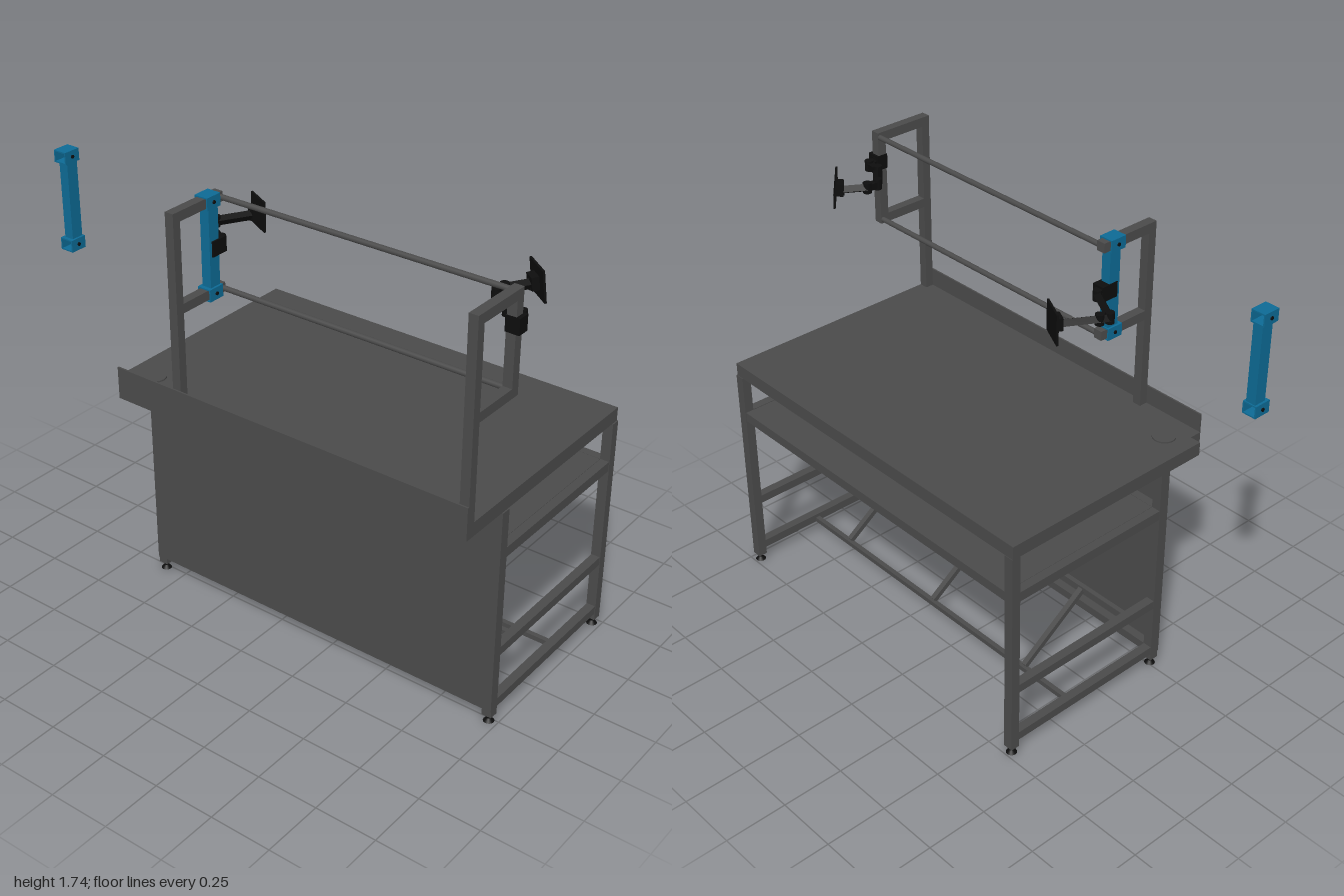
import * as THREE from 'three';

export function createModel() {
  const root = new THREE.Group();
  root.name = 'workbench';
  const steel = new THREE.MeshStandardMaterial({ color: 0x4a4a4a });
  steel.name = 'dark grey steel';
  const blue = new THREE.MeshStandardMaterial({ color: 0x0d6a94 });
  blue.name = 'blue bracket';
  const black = new THREE.MeshStandardMaterial({ color: 0x0d0d0d });
  black.name = 'black plastic';

  const add = (geometry, material, name, parent = root) => {
    const mesh = new THREE.Mesh(geometry, material);
    mesh.name = name;
    parent.add(mesh);
    return mesh;
  };
  // Box given by its limits on each axis
  const box = (name, x0, x1, y0, y1, z0, z1, material = steel, parent = root) => {
    const mesh = add(new THREE.BoxGeometry(x1 - x0, y1 - y0, z1 - z0), material, name, parent);
    mesh.position.set((x0 + x1) / 2, (y0 + y1) / 2, (z0 + z1) / 2);
    return mesh;
  };
  // Straight bar between two points; round when depth is omitted
  const bar = (name, a, b, width, depth, material = steel, parent = root) => {
    const from = new THREE.Vector3(...a), to = new THREE.Vector3(...b);
    const length = from.distanceTo(to);
    const geometry = depth
      ? new THREE.BoxGeometry(width, length, depth)
      : new THREE.CylinderGeometry(width / 2, width / 2, length, 16);
    const mesh = add(geometry, material, name, parent);
    mesh.position.copy(from).add(to).multiplyScalar(0.5);
    mesh.quaternion.setFromUnitVectors(new THREE.Vector3(0, 1, 0), to.sub(from).normalize());
    return mesh;
  };

  // Table top with one notched corner (shape y is -z)
  const outline = new THREE.Shape([
    [-0.49, -0.98], [0.49, -0.98], [0.49, 0.615], [-0.44, 0.615], [-0.44, 0.57], [-0.49, 0.57],
  ].map(([x, y]) => new THREE.Vector2(x, y)));
  const topGeometry = new THREE.ExtrudeGeometry(outline, { depth: 0.02, bevelEnabled: false });
  topGeometry.rotateX(-Math.PI / 2);
  add(topGeometry, steel, 'tableTop').position.y = 0.945;
  const grommet = add(new THREE.CylinderGeometry(0.045, 0.045, 0.006, 32), steel, 'cableGrommet');
  grommet.position.set(-0.37, 0.968, -0.5);

  // Frame under the table top
  box('topRailFront', 0.455, 0.49, 0.91, 0.945, -0.615, 0.98);
  box('topRailBack', -0.49, -0.455, 0.91, 0.945, -0.57, 0.98);
  box('topRailLegs', -0.28, -0.243, 0.91, 0.945, -0.58, 0.945);
  box('topRailEnd', -0.455, 0.455, 0.91, 0.945, 0.945, 0.98);
  box('topRailEnd', -0.44, 0.455, 0.91, 0.945, -0.615, -0.58);
  box('notchRail', -0.49, -0.44, 0.91, 0.945, -0.57, -0.535);
  box('backLip', -0.497, -0.49, 0.91, 1.04, -0.565, 0.98);

  // Legs, levelling feet and end rails
  for (const [z0, z1] of [[0.945, 0.985], [-0.615, -0.575]]) {
    for (const [x0, x1] of [[-0.28, -0.243], [0.455, 0.492]]) {
      box('leg', x0, x1, 0.03, 0.91, z0, z1);
      const foot = add(new THREE.CylinderGeometry(0.009, 0.021, 0.014, 20), black, 'foot');
      foot.position.set((x0 + x1) / 2, 0.007, (z0 + z1) / 2);
      const stem = add(new THREE.CylinderGeometry(0.009, 0.009, 0.02, 12), black, 'footStem');
      stem.position.set((x0 + x1) / 2, 0.022, (z0 + z1) / 2);
    }
    for (const [y0, y1] of [[0.71, 0.75], [0.29, 0.325], [0.06, 0.095]]) {
      box('endRail', -0.243, 0.455, y0, y1, z0 + 0.002, z1 - 0.002);
    }
  }

  // Long rails, back panel and shelf
  for (const [x0, x1] of [[-0.28, -0.243], [0.455, 0.49]]) {
    box('shelfRail', x0, x1, 0.71, 0.75, -0.575, 0.945);
  }
  box('lowerBackRail', -0.278, -0.243, 0.06, 0.095, -0.575, 0.945);
  box('backPanel', -0.284, -0.278, 0.06, 0.91, -0.615, 0.985);
  box('shelf', -0.243, 0.455, 0.735, 0.749, -0.575, 0.945);
  for (const z of [-0.2, 0.185, 0.57]) {
    box('shelfBeam', -0.243, 0.455, 0.712, 0.735, z - 0.012, z + 0.012);
  }
  box('socketBox', -0.29, -0.284, 0.77, 0.86, -0.53, -0.47, black);

  // Foot rest bars with diagonal struts
  box('upperLongBar', -0.135, -0.115, 0.29, 0.31, -0.577, 0.947);
  box('lowerLongBar', 0.17, 0.19, 0.06, 0.08, -0.577, 0.947);
  for (const z of [0.72, 0.185, -0.35]) {
    bar('diagonalStrut', [-0.12, 0.295, z], [0.18, 0.085, z], 0.022, 0.022);
  }

  // Two upright frames joined by round rods
  for (const [z0, z1] of [[0.943, 0.98], [-0.297, -0.26]]) {
    box('upright', -0.49, -0.455, 0.945, 1.73, z0, z1);
    box('upperArm', -0.455, -0.23, 1.692, 1.73, z0, z1);
    box('lowerArm', -0.455, -0.23, 1.34, 1.377, z0, z1);
  }
  box('frontArmPost', -0.267, -0.23, 1.377, 1.692, 0.943, 0.98);
  for (const y of [1.711, 1.357]) {
    bar('crossRod', [-0.24, y, -0.26], [-0.24, y, 0.943], 0.021);
  }

  // Blue upright with an open square sleeve at each end
  for (const z of [-0.278, -0.967]) {
    const bracket = new THREE.Group();
    bracket.name = 'slidingBracket';
    bracket.position.z = z;
    root.add(bracket);
    box('bracketPost', -0.31, -0.26, 1.382, 1.687, -0.02, 0.02, blue, bracket);
    for (const y of [1.711, 1.358]) {
      for (const s of [-1, 1]) {
        const v = y + s * 0.0215, w = s * 0.0265;
        box('sleevePlate', -0.325, -0.255, v - 0.0025, v + 0.0025, -0.029, 0.029, blue, bracket);
        box('sleeveSide', -0.325, -0.255, y - 0.019, y + 0.019, w - 0.0025, w + 0.0025, blue, bracket);
        bar('sleeveBolt', [-0.29, y, s * 0.029], [-0.29, y, s * 0.033], 0.014, 0, black, bracket);
      }
    }
  }

  // Jointed screen arm following points in plan, ending in a mounting plate
  const screenArm = (y, clamp, points, plateYaw, platePitch) => {
    const arm = new THREE.Group();
    arm.name = 'screenArm';
    root.add(arm);
    box('clamp', clamp[0], clamp[1], y - 0.03, y + 0.03, clamp[2], clamp[3], black, arm);
    for (let i = 0; i < points.length; i++) {
      const [x, z] = points[i];
      const joint = add(new THREE.CylinderGeometry(0.017, 0.017, 0.042, 16), black, 'armJoint', arm);
      joint.position.set(x, y, z);
      if (i) {
        const [px, pz] = points[i - 1];
        bar('armLink', [px, y, pz], [x, y, z], 0.026, 0.026, black, arm);
      }
    }
    const [x, z] = points[points.length - 1];
    const head = new THREE.Group();
    head.name = 'screenMount';
    head.position.set(x, y + 0.008, z);
    head.rotation.set(0, plateYaw, platePitch, 'YXZ');
    arm.add(head);
    box('mountPlate', 0.012, 0.02, -0.06, 0.06, -0.06, 0.06, black, head);
    box('mountHub', -0.015, 0.012, -0.025, 0.025, -0.025, 0.025, black, head);
  };
  screenArm(1.605, [-0.27, -0.222, 0.94, 0.995],
    [[-0.235, 0.965], [-0.19, 0.955], [-0.185, 0.895], [-0.11, 0.805], [-0.06, 0.805], [0.03, 0.86]],
    -0.65, 0.12);
  screenArm(1.53, [-0.298, -0.225, -0.302, -0.252],
    [[-0.235, -0.278], [-0.215, -0.285], [-0.135, -0.425], [-0.1, -0.41], [0.03, -0.335]],
    -0.48, 0);

  return root;
}
